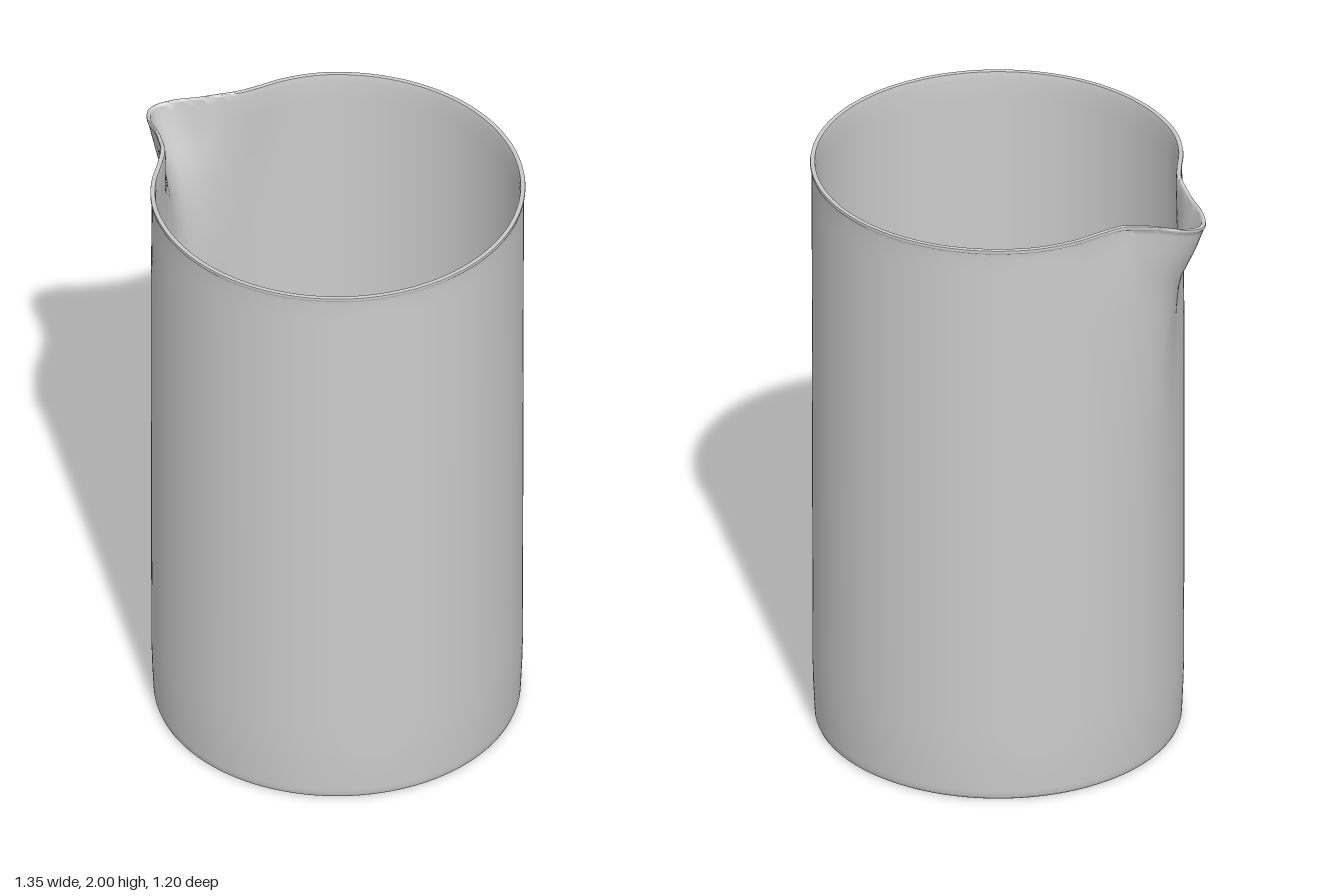
import * as THREE from 'three';
import { mergeVertices, toCreasedNormals } from 'three/addons/utils/BufferGeometryUtils.js';

// Smooth curve through [position, value] pairs, clamped at both ends
function smoothCurve(pairs) {
  const xs = pairs.map(p => p[0]);
  const spline = new THREE.CubicInterpolant(xs, pairs.map(p => p[1]), 1, [0]);
  return x => spline.evaluate(THREE.MathUtils.clamp(x, xs[0], xs[xs.length - 1] - 1e-6))[0];
}

// Outward push of the spout by angle from its middle, and its strength by height
const spoutPush = smoothCurve([[-0.085, 0.122], [0, 0.154], [0.085, 0.122], [0.169, 0.06],
  [0.243, 0.024], [0.32, -0.003], [0.45, -0.014], [0.62, -0.007], [0.85, 0], [1, 0]]);
const spoutStrength = smoothCurve([[0.4, 0], [0.7, 0.005], [1, 0.02], [1.24, 0.05], [1.46, 0.125],
  [1.67, 0.29], [1.76, 0.43], [1.88, 0.76], [1.985, 0.99], [2, 1]]);

export function createModel() {
  const group = new THREE.Group();
  group.name = 'beaker';

  // Wall profile: base, rounded foot, outer wall, rolled rim, inner wall, floor
  const profile = [[0, 0], [0.45, 0], [0.574, 0], [0.58, 0.004], [0.583, 0.012], [0.584, 0.03], [0.588, 0.12]];
  const steps = 26;
  for (let i = 0; i <= steps; i++) profile.push([0.59 + 0.003 * i / steps, 0.2 + 1.77 * i / steps]);
  profile.push([0.594, 1.985], [0.597, 1.987], [0.598, 1.992], [0.597, 1.998], [0.594, 2],
    [0.586, 2], [0.583, 1.998], [0.582, 1.992]);
  for (let i = steps; i >= 0; i--) profile.push([0.577 + 0.003 * i / steps, 0.2 + 1.77 * i / steps]);
  profile.push([0.574, 0.08], [0.57, 0.03], [0.562, 0.018], [0.45, 0.016], [0, 0.016]);

  let geometry = new THREE.LatheGeometry(profile.map(p => new THREE.Vector2(...p)), 288);
  geometry.deleteAttribute('uv');
  geometry.deleteAttribute('normal');

  // Pull the wall out into a pouring spout on -x, dipping the rim slightly
  const pos = geometry.attributes.position;
  for (let i = 0; i < pos.count; i++) {
    const x = pos.getX(i), y = pos.getY(i), z = pos.getZ(i);
    const r = Math.hypot(x, z);
    if (r < 0.5 || y < 0.4) continue;
    const push = spoutPush(Math.abs(Math.atan2(z, -x))) * spoutStrength(y);
    const k = (r + push) / r;
    pos.setXYZ(i, x * k, y - 0.24 * Math.max(push, 0), z * k);
  }
  geometry = toCreasedNormals(mergeVertices(geometry, 1e-5), 0.8);

  const vessel = new THREE.Mesh(geometry, new THREE.MeshStandardMaterial({ color: 0xcccccc }));
  vessel.name = 'vesselWithSpout';
  vessel.position.x = 0.076;
  group.add(vessel);
  return group;
}
